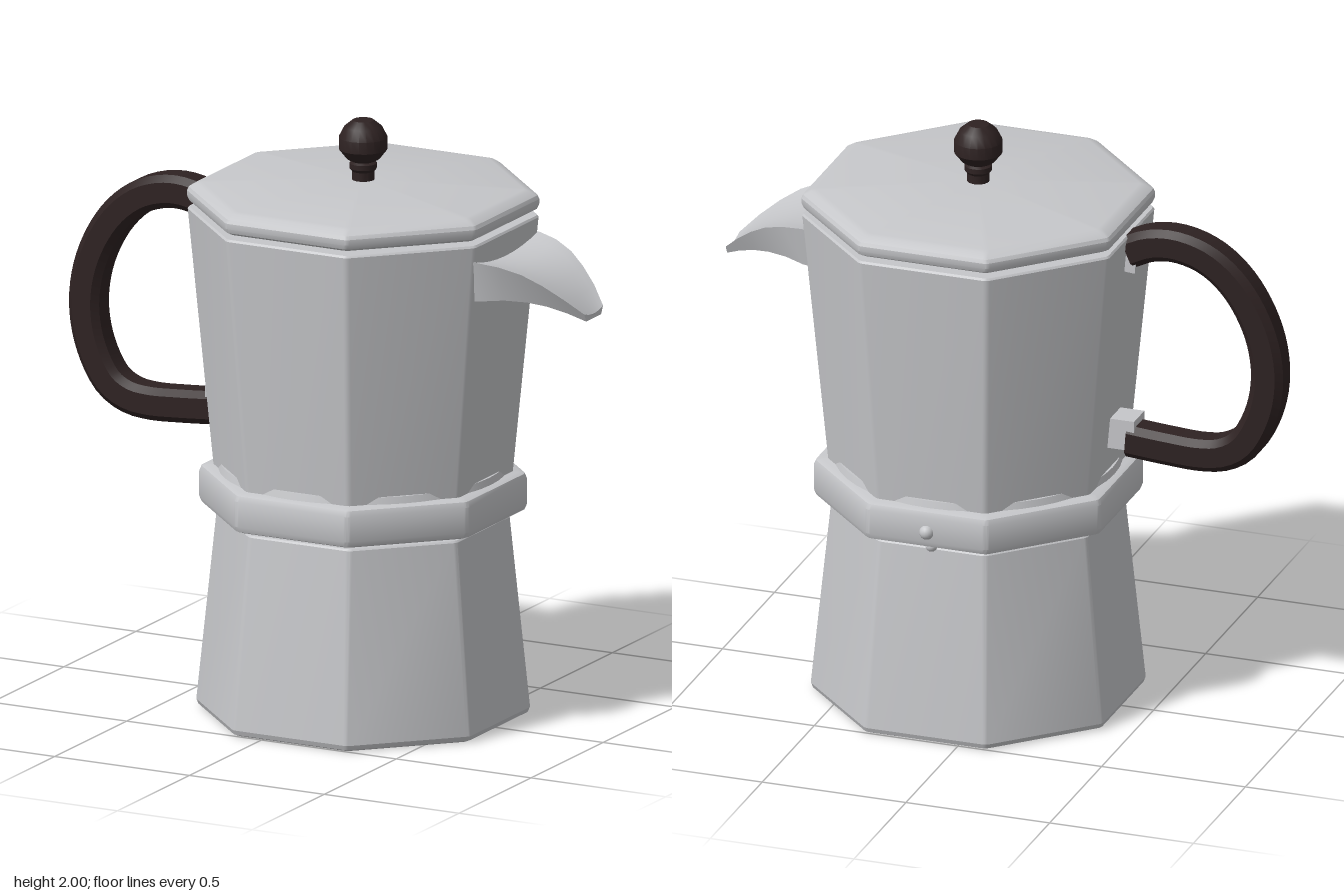
import * as THREE from 'three';
import { toCreasedNormals } from 'three/addons/utils/BufferGeometryUtils.js';

const CX = 0.11; // axis of the pot

// Skin a list of closed rings (arrays of [x, y, z])
function loft(rings, crease) {
  const n = rings[0].length, index = [];
  for (let i = 0; i < rings.length - 1; i++) {
    for (let j = 0; j < n; j++) {
      const a = i * n + j, b = i * n + (j + 1) % n;
      index.push(a, b, b + n, a, b + n, a + n);
    }
  }
  const g = new THREE.BufferGeometry();
  g.setAttribute('position', new THREE.Float32BufferAttribute(rings.flat(2), 3));
  g.setIndex(index);
  return toCreasedNormals(g.toNonIndexed(), crease);
}

// Octagon with softened corners, given its apothem and height
function octagon(apothem, y) {
  const r = Math.min(0.03, apothem), ring = [];
  const c = (apothem - r) / Math.cos(Math.PI / 8);
  for (let k = 0; k < 8; k++) {
    const a = (k + 0.5) * Math.PI / 4;
    for (let j = 0; j < 4; j++) {
      const d = a - Math.PI / 8 + j * Math.PI / 12;
      ring.push([CX + c * Math.cos(a) + r * Math.cos(d), y, -c * Math.sin(a) - r * Math.sin(d)]);
    }
  }
  return ring;
}
const octSolid = (profile) => loft(profile.map(([a, y]) => octagon(a, y)), 0.45);

// Curved pouring spout: channelled top, flat underside, narrowing to the lip
function spoutGeometry() {
  // x, top half width, top y, bottom half width, bottom y, channel depth
  const stations = [
    [0.56, 0.235, 1.637, 0.205, 1.49, 0.03],
    [0.65, 0.22, 1.633, 0.195, 1.497, 0.03],
    [0.72, 0.2, 1.622, 0.165, 1.502, 0.025],
    [0.79, 0.172, 1.598, 0.135, 1.497, 0.02],
    [0.85, 0.142, 1.562, 0.108, 1.484, 0.016],
    [0.91, 0.107, 1.515, 0.082, 1.463, 0.013],
    [0.965, 0.065, 1.462, 0.052, 1.435, 0.012],
  ];
  const rings = stations.map(([x, wt, yt, wb, yb, dip]) => {
    const ring = [];
    for (let i = -4; i <= 4; i++) ring.push([x, yt - dip * (1 - (i / 4) ** 2), wt * i / 4]);
    for (let i = 2; i >= -2; i--) ring.push([x, yb, wb * i / 2]);
    return ring;
  });
  rings.push(rings[0].map(() => [0.963, 1.445, 0]));
  return loft(rings, 0.6);
}

// Bent grip with a chamfered square section
function handleGeometry() {
  const path = new THREE.CatmullRomCurve3([
    [-0.425, 1.632], [-0.5, 1.665], [-0.59, 1.673], [-0.7, 1.64], [-0.8, 1.555],
    [-0.88, 1.41], [-0.907, 1.26], [-0.885, 1.12], [-0.82, 1.0], [-0.75, 0.957],
    [-0.67, 0.945], [-0.55, 0.95], [-0.42, 0.96],
  ].map(([x, y]) => new THREE.Vector3(x, y, 0)));
  const h = 0.056, c = 0.034;
  const section = new THREE.Shape([[h, -c], [h, c], [c, h], [-c, h], [-h, c], [-h, -c], [-c, -h], [c, -h]]
    .map(([x, y]) => new THREE.Vector2(x, y)));
  const g = new THREE.ExtrudeGeometry(section, { steps: 48, extrudePath: path, bevelEnabled: false });
  return toCreasedNormals(g, 0.5);
}

export function createModel() {
  const model = new THREE.Group();
  const metal = new THREE.MeshStandardMaterial({ color: 0xc6c7ca });
  metal.name = 'aluminium';
  const grip = new THREE.MeshStandardMaterial({ color: 0x2e2222 });
  grip.name = 'dark brown plastic';

  const add = (name, geometry, material, x = 0, y = 0, z = 0) => {
    const mesh = new THREE.Mesh(geometry, material);
    mesh.name = name;
    mesh.position.set(x, y, z);
    model.add(mesh);
    return mesh;
  };

  // Boiler, neck and collar
  add('boiler', octSolid([[0, 0], [0.49, 0], [0.503, 0.006], [0.509, 0.022], [0.447, 0.664], [0.442, 0.67], [0, 0.67]]), metal);
  add('neck', new THREE.CylinderGeometry(0.33, 0.33, 0.1, 40), metal, CX, 0.69, 0);
  add('collar', octSolid([[0, 0.685], [0.475, 0.685], [0.493, 0.692], [0.5, 0.71],
    [0.5, 0.795], [0.493, 0.813], [0.475, 0.82], [0, 0.82]]), metal);

  // Upper chamber with its round seat showing through the flats
  add('upperChamber', octSolid([[0, 0.81], [0.456, 0.81], [0.535, 1.683], [0.53, 1.69], [0, 1.69]]), metal);
  add('chamberSeat', new THREE.CylinderGeometry(0.468, 0.476, 0.03, 48), metal, CX, 0.828, 0);

  // Lid, floating just above the rim
  add('lid', octSolid([[0, 1.703], [0.515, 1.703], [0.531, 1.712], [0.537, 1.727], [0.537, 1.745],
    [0.531, 1.757], [0.508, 1.772], [0.49, 1.776], [0, 1.798]]), metal);

  // Knob
  const knobProfile = [[0, 1.785], [0.037, 1.785], [0.037, 1.825], [0.045, 1.835], [0.045, 1.852], [0.036, 1.858],
    [0.055, 1.868], [0.08, 1.9], [0.08, 1.94], [0.062, 1.975], [0.035, 1.997], [0, 2]]
    .map(([r, y]) => new THREE.Vector2(r, y));
  add('knob', toCreasedNormals(new THREE.LatheGeometry(knobProfile, 20), 0.5), grip, CX, 0, 0);

  add('spout', spoutGeometry(), metal);

  // Handle and its two mounting lugs
  add('handle', handleGeometry(), grip);
  add('upperLug', new THREE.BoxGeometry(0.06, 0.1, 0.09), metal, -0.425, 1.615, 0).rotation.z = 0.09;
  add('lowerLug', new THREE.BoxGeometry(0.1, 0.105, 0.1), metal, -0.4, 0.985, 0);

  // Safety valve studs at the back
  add('valve', new THREE.SphereGeometry(0.025, 16, 12), metal, CX, 0.743, -0.495);
  add('lowerValve', new THREE.SphereGeometry(0.02, 16, 12), metal, CX, 0.677, -0.45);

  return model;
}
